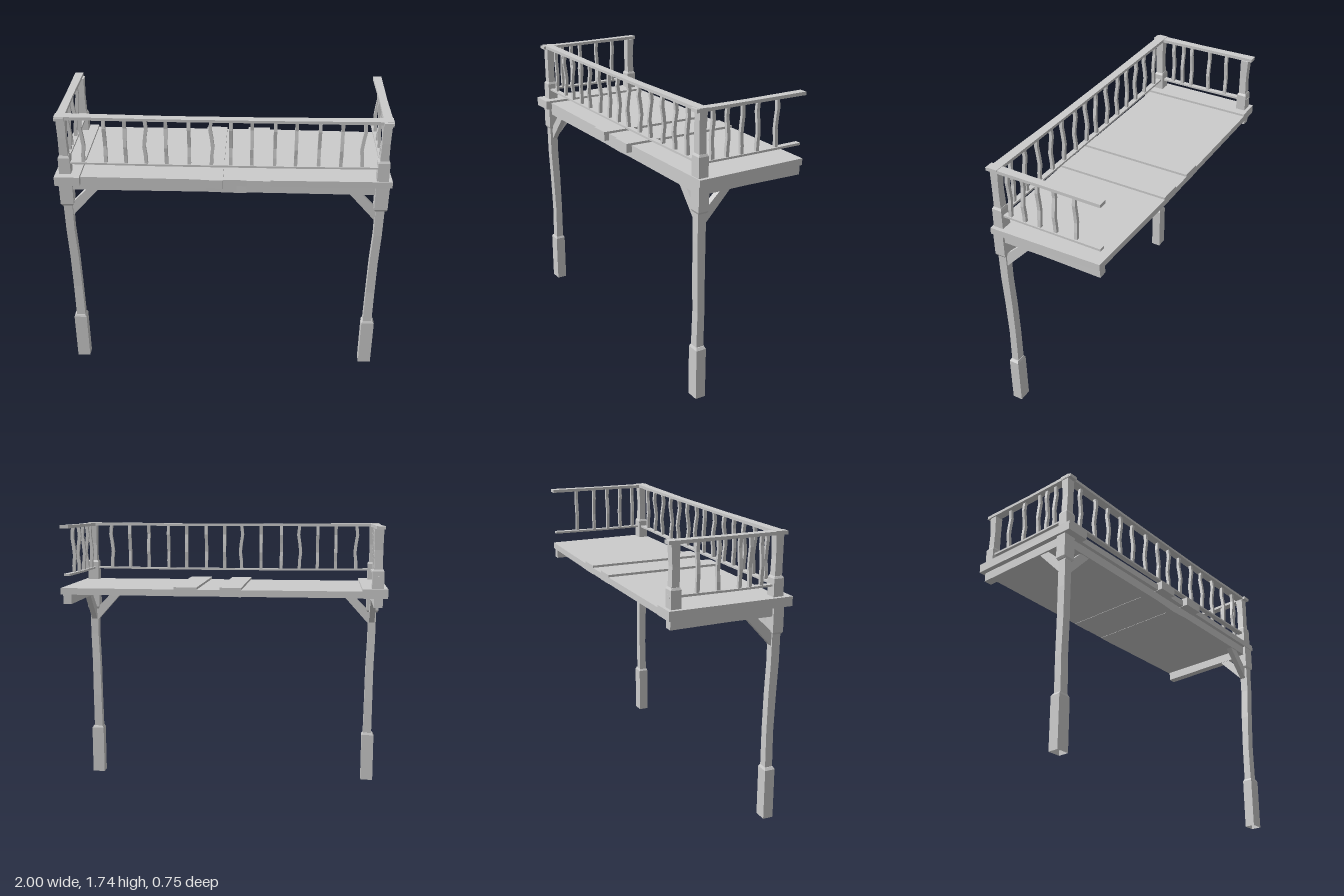
import * as THREE from 'three';

const material = new THREE.MeshStandardMaterial({ color: 0xcccccc, flatShading: true, side: THREE.DoubleSide });

// Rectangular timber through stations [x, y, z, halfA, halfB] that advance along an axis.
// Half sizes: axis x -> (y, z), axis y -> (z, x), axis z -> (x, y).
function timber(name, axis, stations, openStart = false) {
  const k = 'xyz'.indexOf(axis), a = (k + 1) % 3, b = (k + 2) % 3;
  const corners = [[1, 1], [-1, 1], [-1, -1], [1, -1]];
  const rings = stations.map((s) => corners.map(([u, v]) => {
    const p = s.slice(0, 3);
    p[a] += u * s[3];
    p[b] += v * s[4];
    return p;
  }));
  const pos = [];
  const quad = (p, q, r, s) => pos.push(...p, ...q, ...r, ...p, ...r, ...s);
  for (let i = 0; i < rings.length - 1; i++) {
    for (let j = 0; j < 4; j++) {
      const n = (j + 1) % 4;
      quad(rings[i][j], rings[i][n], rings[i + 1][n], rings[i + 1][j]);
    }
  }
  const last = rings[rings.length - 1];
  if (!openStart) quad(rings[0][3], rings[0][2], rings[0][1], rings[0][0]);
  quad(last[0], last[1], last[2], last[3]);
  const geometry = new THREE.BufferGeometry();
  geometry.setAttribute('position', new THREE.Float32BufferAttribute(pos, 3));
  geometry.computeVertexNormals();
  const mesh = new THREE.Mesh(geometry, material);
  mesh.name = name;
  return mesh;
}

// Box given by its limits
function block(name, x0, x1, y0, y1, z0, z1) {
  const mesh = new THREE.Mesh(new THREE.BoxGeometry(x1 - x0, y1 - y0, z1 - z0), material);
  mesh.position.set((x0 + x1) / 2, (y0 + y1) / 2, (z0 + z1) / 2);
  mesh.name = name;
  return mesh;
}

// Flat outline given a thickness centred on its plane
function slab(name, points, depth) {
  const shape = new THREE.Shape(points.map(([x, y]) => new THREE.Vector2(x, y)));
  const geometry = new THREE.ExtrudeGeometry(shape, { depth, bevelEnabled: false });
  geometry.translate(0, 0, -depth / 2);
  const mesh = new THREE.Mesh(geometry, material);
  mesh.name = name;
  return mesh;
}

// Thin upright, optionally bent sideways in x or z
function baluster(x, z, bendX, bendZ) {
  const wave = [0, 0.2, 1, 0.3, -0.7, 0];
  return timber('baluster', 'y', wave.map((w, i) =>
    [x + w * bendX, 1.43 + i * 0.058, z + w * bendZ, 0.01, 0.01]));
}

export function createModel() {
  const model = new THREE.Group();

  // Deck with a slightly trimmed back edge, and raised planks on top
  const deck = slab('deck', [[-0.99, -0.335], [0, -0.342], [1, -0.335], [0.985, 0.365], [0.3, 0.38], [-0.985, 0.38]], 0.04);
  deck.rotation.x = -Math.PI / 2;
  deck.position.y = 1.338;
  model.add(deck);
  for (const [x0, x1] of [[-1, -0.85], [-0.13, 0], [0.14, 0.28]]) {
    model.add(block('raisedPlank', x0, x1, 1.316, 1.372, -0.38, 0.375));
  }

  // Beams under the deck
  model.add(timber('frontBeam', 'x', [
    [-0.92, 1.29, 0.29, 0.03, 0.024], [-0.1, 1.291, 0.29, 0.029, 0.024], [0.08, 1.288, 0.287, 0.032, 0.024],
    [0.2, 1.291, 0.29, 0.029, 0.024], [0.92, 1.29, 0.29, 0.03, 0.024]]));

  for (const s of [-1, 1]) {
    model.add(timber('sideBeam', 'z', [
      [s * 0.945, 1.289, -0.36, 0.026, 0.03], [s * 0.945, 1.291, 0, 0.024, 0.029], [s * 0.945, 1.29, 0.29, 0.026, 0.03]]));

    // Front leg: foot, worn shaft and head block
    model.add(timber('foot', 'y', [
      [s * 0.936, 0, 0.29, 0.032, 0.04], [s * 0.936, 0.315, 0.29, 0.032, 0.04], [s * 0.935, 0.33, 0.29, 0.026, 0.03]], true));
    model.add(timber('legShaft', 'y', [
      [s * 0.932, 0.32, 0.29, 0.024, 0.028], [s * 0.934, 0.55, 0.287, 0.023, 0.027], [s * 0.936, 0.78, 0.292, 0.025, 0.026],
      [s * 0.943, 0.98, 0.297, 0.026, 0.025], [s * 0.943, 1.17, 0.298, 0.026, 0.027]]));
    model.add(timber('legHead', 'y', [
      [s * 0.945, 1.155, 0.298, 0.027, 0.032], [s * 0.945, 1.168, 0.298, 0.033, 0.04], [s * 0.945, 1.33, 0.298, 0.033, 0.041]]));

    // Diagonal braces along the front and along the side
    const frontBrace = slab('frontBrace', [[s * 0.917, 1.08], [s * 0.75, 1.265], [s * 0.82, 1.265], [s * 0.917, 1.165]], 0.036);
    frontBrace.position.z = 0.29;
    const sideBrace = slab('sideBrace', [[-0.276, 1.08], [-0.105, 1.265], [-0.17, 1.265], [-0.276, 1.165]], 0.036);
    sideBrace.rotation.y = Math.PI / 2;
    sideBrace.position.x = s * 0.942;
    model.add(frontBrace, sideBrace);

    // Side rails
    model.add(timber('sideTopRail', 'z', [
      [s * 0.95, 1.73, -0.373, 0.026, 0.01], [s * 0.948, 1.728, 0, 0.023, 0.009], [s * 0.945, 1.727, 0.345, 0.028, 0.01]]));
    model.add(timber('sideBottomRail', 'z', [
      [s * 0.945, 1.438, -0.36, 0.018, 0.007], [s * 0.943, 1.434, 0, 0.016, 0.006], [s * 0.943, 1.436, 0.29, 0.018, 0.006]]));
    const spots = s > 0 ? [0.225, 0.13, 0.033, -0.07, -0.2] : [0.2, 0.13, 0.065, -0.065, -0.19];
    spots.forEach((z, i) => model.add(baluster(s * 0.943, z, i % 2 ? 0.009 : -0.008, 0)));
  }

  // Railing posts: both front corners, and one at the back on the right
  for (const [x, z] of [[-0.941, 0.297], [0.941, 0.297], [-0.941, -0.328]]) {
    model.add(timber('postBase', 'y', [
      [x, 1.35, z, 0.031, 0.035], [x, 1.475, z, 0.031, 0.035], [x, 1.488, z, 0.025, 0.028]]));
    model.add(timber('railPost', 'y', [
      [x, 1.48, z, 0.023, 0.026], [x, 1.6, z + 0.003, 0.022, 0.024], [x, 1.722, z, 0.025, 0.027]]));
  }

  // Front rails
  model.add(timber('frontTopRail', 'x', [
    [-0.975, 1.73, 0.3, 0.01, 0.029], [-0.3, 1.726, 0.302, 0.008, 0.025], [0.3, 1.726, 0.3, 0.008, 0.025],
    [0.975, 1.73, 0.3, 0.01, 0.029]]));
  model.add(timber('frontBottomRail', 'x', [
    [-0.92, 1.437, 0.297, 0.006, 0.018], [-0.4, 1.432, 0.297, 0.006, 0.016], [0.4, 1.432, 0.297, 0.006, 0.016],
    [0.92, 1.437, 0.297, 0.006, 0.018]]));

  // Front balusters: a few bend along the rail, the others across it
  const alongRail = [0, 3, 6, 13];
  [-0.83, -0.695, -0.575, -0.455, -0.335, -0.2, -0.07, 0.045, 0.168, 0.302, 0.425, 0.56, 0.69, 0.815].forEach((x, i) => {
    const bend = i % 2 ? -0.009 : 0.009;
    model.add(alongRail.includes(i) ? baluster(x, 0.297, bend, 0) : baluster(x, 0.297, 0, bend));
  });

  return model;
}
